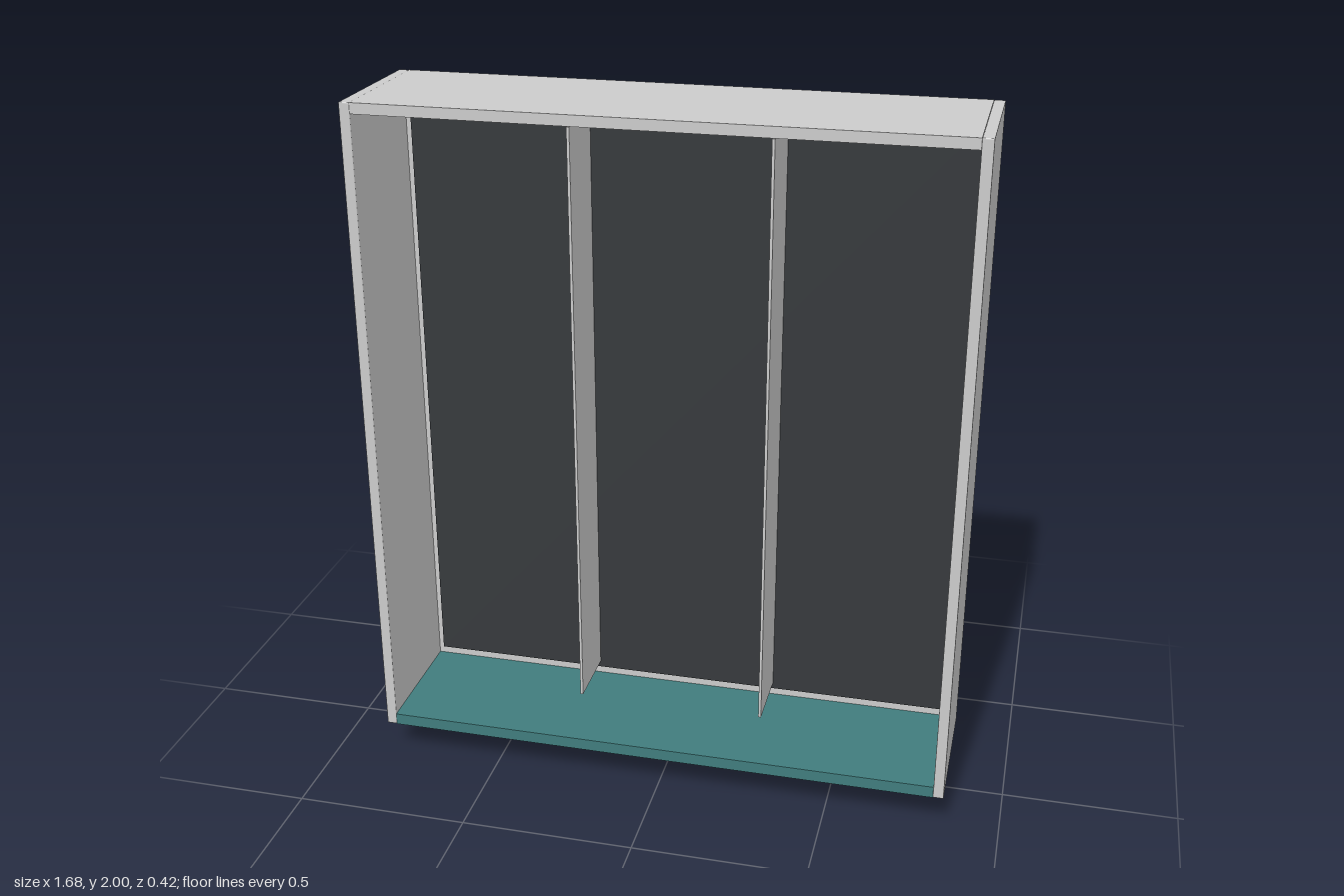
import * as THREE from 'three';
import { RoundedBoxGeometry } from 'three/addons/geometries/RoundedBoxGeometry.js';

const grey = new THREE.MeshStandardMaterial({ color: 0xcccccc });
const teal = new THREE.MeshStandardMaterial({ color: 0x407c7d });
const dark = new THREE.MeshStandardMaterial({ color: 0x36393c });

// Box given by its min and max corners; a radius rounds its edges.
function box(name, min, max, material = grey, radius = 0) {
  const size = max.map((v, i) => v - min[i]);
  const geometry = radius
    ? new RoundedBoxGeometry(...size, 3, radius)
    : new THREE.BoxGeometry(...size);
  const mesh = new THREE.Mesh(geometry, material);
  mesh.name = name;
  mesh.position.set(...max.map((v, i) => (v + min[i]) / 2));
  return mesh;
}

export function createModel() {
  const drawer = new THREE.Group();
  drawer.name = 'drawer';

  const W = 0.84, D = 0.212, T = 0.03; // half width, half depth, wall thickness
  const bottom = 0.105, top = 2, inner = W - T;

  // Outer walls and coloured drawer face
  drawer.add(
    box('leftWall', [inner, bottom, -D], [W, top, D], grey, 0.003),
    box('rightWall', [-W, bottom, -D], [-inner, top, D], grey, 0.003),
    box('endWall', [-inner, top - T, -D], [inner, top, D]),
    box('drawerFace', [-inner, bottom, -D], [inner, 0.14, D], teal),
  );

  // Slightly recessed floor with a dark mat on it
  drawer.add(
    box('floor', [-inner, 0.14, -0.2], [inner, top - T, -0.167]),
    box('mat', [-0.795, 0.163, -0.168], [0.795, 1.945, -0.162], dark),
  );

  // Dividers, about half as deep as the walls
  for (const x of [-0.275, 0.275]) {
    drawer.add(box('divider', [x - 0.004, 0.182, -0.163], [x + 0.004, 1.925, 0.037]));
  }

  // Pull handle
  const handle = new THREE.Group();
  handle.name = 'handle';
  handle.add(box('handleBar', [-0.212, 0, 0.026], [0.212, 0.04, 0.068], grey, 0.012));
  for (const x of [-0.187, 0.187]) {
    handle.add(box('handlePost', [x - 0.016, 0.02, 0.029], [x + 0.016, bottom + 0.01, 0.065], grey, 0.006));
  }
  drawer.add(handle);

  return drawer;
}
